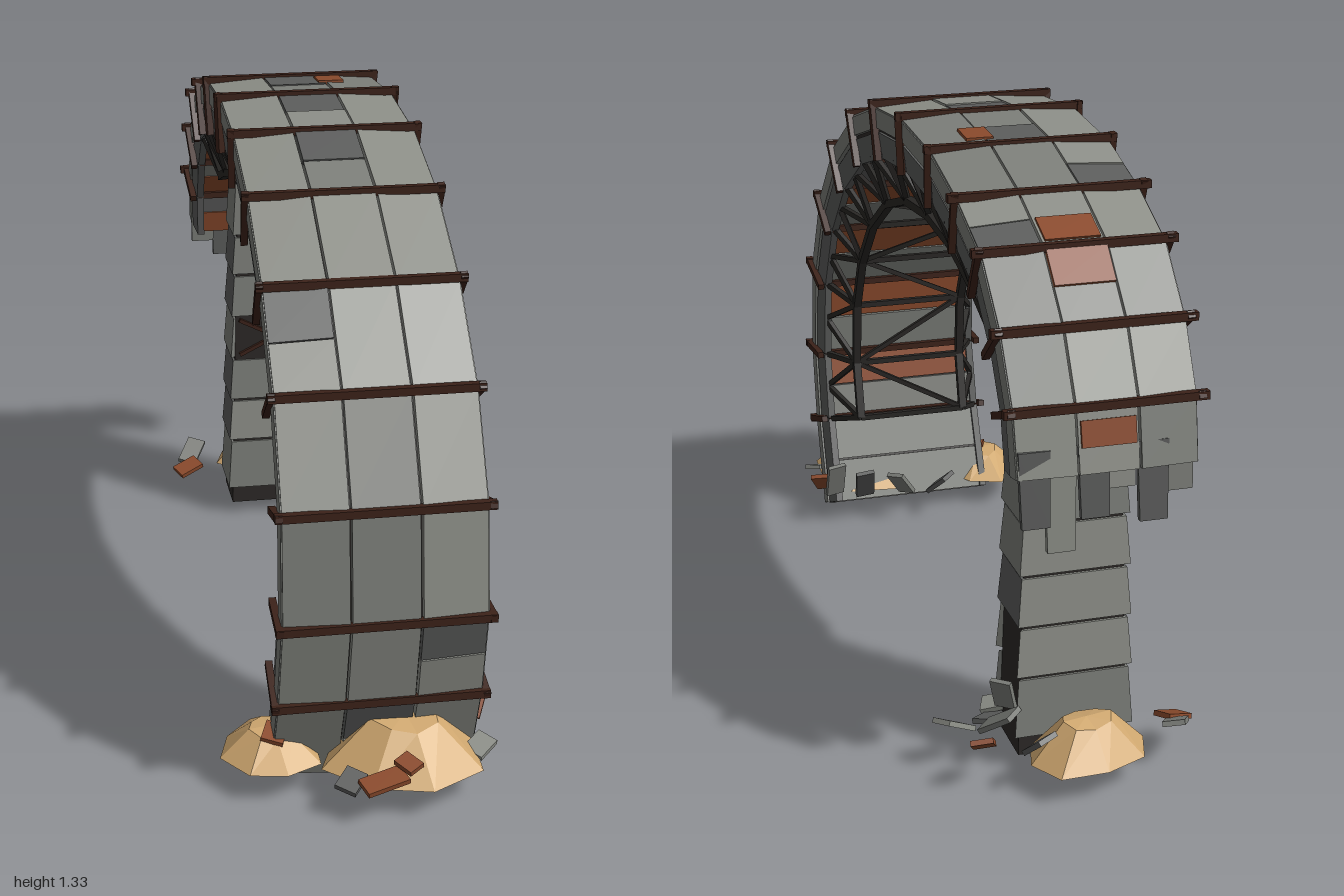
import * as THREE from 'three';

const mats = {};
const mat = (color) => (mats[color] ??= new THREE.MeshStandardMaterial({ color, flatShading: true }));
const LIGHT = 0x8c8e87, MID = 0x7c7e79, DARK = 0x5c5d5c, RUST = 0x8a4a2c, RIB = 0x3c2219, STEEL = 0x282624,
  CORE = 0x2c2826, SAND = 0xd0a870;

let seed = 7;
const rnd = () => (seed = (seed * 16807) % 2147483647) / 2147483647;
const pick = (...list) => list[Math.floor(rnd() * list.length)];

// Arch outline from the front foot over the top to the broken back end: [z, y]
const P = [[.783, -.004], [.878, .222], [.928, .432], [.903, .683], [.79, .905], [.61, 1.088], [.385, 1.222],
  [.14, 1.3], [-.11, 1.325], [-.36, 1.308], [-.57, 1.255], [-.745, 1.185], [-.878, 1.055], [-.96, .912], [-.988, .775]];
const LAST = P.length - 1;
const normals = P.map((_, i) => {
  const a = P[Math.max(i - 1, 0)], b = P[Math.min(i + 1, LAST)];
  return new THREE.Vector2(b[1] - a[1], a[0] - b[0]).normalize();
});
const half = (s) => THREE.MathUtils.lerp(.228, .194, s / LAST);

// Point at station s along the arch, x across it, d below its outer face
function pt(s, x, d) {
  const i = Math.min(Math.floor(s), LAST - 1), f = s - i;
  const at = (k) => new THREE.Vector3(x, P[k][1] - normals[k].y * d, P[k][0] - normals[k].x * d);
  return at(i).lerp(at(i + 1), f);
}

// Six-sided block from two matching quads
function block(parent, name, color, a, b) {
  const v = [...a, ...b];
  const quads = [[0, 1, 2, 3], [7, 6, 5, 4], [0, 4, 5, 1], [1, 5, 6, 2], [2, 6, 7, 3], [3, 7, 4, 0]];
  const n = v[1].clone().sub(v[0]).cross(v[3].clone().sub(v[0]));
  const flip = n.dot(v[0].clone().sub(v[4])) < 0;
  const pos = [];
  for (const q of quads) {
    const [p, r, s, t] = flip ? [...q].reverse() : q;
    for (const k of [p, r, s, p, s, t]) pos.push(...v[k].toArray());
  }
  const g = new THREE.BufferGeometry();
  g.setAttribute('position', new THREE.Float32BufferAttribute(pos, 3));
  g.computeVertexNormals();
  const m = new THREE.Mesh(g, mat(color));
  m.name = name;
  parent.add(m);
}

// Plate on the arch between stations s0..s1, section points (x as a share of half width, depth)
function plate(parent, name, color, s0, s1, [x0, d0], [x1, d1], dx, dd) {
  const quad = (ox, od) => [[s0, x0, d0], [s0, x1, d1], [s1, x1, d1], [s1, x0, d0]]
    .map(([s, x, d]) => pt(s, x * half(s) + ox, d + od));
  block(parent, name, color, quad(0, 0), quad(dx, dd));
}

function strut(parent, name, color, a, b, w, h = w) {
  const m = new THREE.Mesh(new THREE.BoxGeometry(w, h, a.distanceTo(b)), mat(color));
  m.position.copy(a).lerp(b, .5);
  m.lookAt(b);
  m.name = name;
  parent.add(m);
}

function addGroup(parent, name) {
  const g = new THREE.Group();
  g.name = name;
  parent.add(g);
  return g;
}

function buildShell(parent) {
  const shell = addGroup(parent, 'archShell');
  const edges = [[-1, .01], [-.34, 0], [.34, 0], [1, .01]];
  // darker half plates, as segment.column
  const patched = ['0.1', '1.2', '4.0', '6.1', '7.1', '8.1', '9.0', '10.2'];
  for (let i = 0; i < LAST; i++) {
    plate(shell, 'shellCore', CORE, i, i + 1, [-.95, .022], [.95, .022], 0, .085);
    // three columns of outer plates
    for (let c = 0; c < 3; c++) {
      const split = patched.includes(`${i}.${c}`), cuts = split ? [0, .5, 1] : [0, 1];
      for (let k = 0; k + 1 < cuts.length; k++) {
        const color = split && k === 1 ? DARK : pick(LIGHT, LIGHT, MID);
        const j = rnd() * .004, [x0, d0] = edges[c], [x1, d1] = edges[c + 1];
        plate(shell, 'outerPlate', color, i + cuts[k] + .006, i + cuts[k + 1] - .006,
          [x0 + .012, d0 + j], [x1 - .012, d1 + j], 0, .02);
      }
    }
    // two side bands and the inner lining
    for (const m of [-1, 1]) {
      plate(shell, 'upperSideBand', MID, i + .01, i + .99, [m, .016], [m, .062], -m * .02, 0);
      plate(shell, 'lowerSideBand', DARK, i + .01, i + .99, [m * .985, .072], [m * .95, .135], -m * .018, 0);
    }
    for (let k = 0; k < 2; k++)
      plate(shell, 'innerLining', k && i ? pick(RUST, DARK, RUST) : pick(DARK, MID),
        i + k / 2 + .01, i + k / 2 + .49, [-.9, .105], [.9, .105], 0, .012);
  }
  // rust patches on the outer face
  for (const [s, x, w, l] of [[8.55, .25, .3, .3], [11.05, -.33, .66, .45], [10.5, -.3, .6, .4], [13.2, -.3, .6, .4]])
    plate(shell, 'rustPatch', RUST, s, s + l, [x, -.003], [x + w, -.003], 0, .01);
  // ragged strips hanging from the broken end
  const lengths = [.07, .12, .05, .1, .18, .11];
  lengths.forEach((len, k) => {
    const x = -.192 + k * .063, d = k % 2 ? .012 : .038;
    const end = (y, w, z) => [[x, d], [x + w, d], [x + w, d + .014], [x, d + .014]]
      .map(([px, pd]) => new THREE.Vector3(px, y, z + pd));
    block(shell, 'hangingStrip', pick(LIGHT, MID, DARK), end(.83, .068, -.985), end(.775 - len, .06, -.99));
  });
}

function buildRibs(parent) {
  const ribs = addGroup(parent, 'ribs');
  for (let i = 1; i < LAST; i++) {
    const w = half(i) + .006, reach = i > 9 ? .016 : .008;
    strut(ribs, 'ribBar', RIB, pt(i, -w - reach, .004), pt(i, w + reach, .004), .018, .018);
    strut(ribs, 'ribInnerBar', RIB, pt(i, -w + .02, .125), pt(i, w - .02, .125), .016);
    for (const m of [-1, 1])
      strut(ribs, 'ribSide', RIB, pt(i, m * w, -.006), pt(i, m * (w - .005), .14), .016);
  }
}

function buildTruss(parent) {
  const truss = addGroup(parent, 'truss');
  const low = (s, m) => pt(s, m * .145, .24), high = (s, m) => pt(s, m * half(s) * .92, .12);
  const count = 20;
  for (let k = 0; k <= count; k++) {
    const s = 1 + k / 2, next = s + .5, odd = k % 2, swap = k % 4 ? 1 : -1;
    for (const m of [-1, 1]) {
      if (!odd) strut(truss, 'trussPost', STEEL, high(s, m), low(s, m), .014);
      if (k === count) continue;
      strut(truss, 'trussChord', STEEL, low(s, m), low(next, m), .02);
      strut(truss, 'trussDiagonal', STEEL, odd ? high(s, m) : low(s, m), odd ? low(next, m) : high(next, m), .013);
    }
    if (odd) continue;
    strut(truss, 'trussTie', STEEL, low(s, -1), low(s, 1), .014);
    if (k < count) strut(truss, 'trussCross', STEEL, low(s, swap), low(s + 1, -swap), .012);
  }
}

function buildPillar(parent) {
  const pillar = addGroup(parent, 'pillar');
  pillar.position.z = -.7;
  const hw = (y) => .126 - .028 * y, hd = (y) => .073 - .014 * y;
  const ring = (y, o) => [[-1, -1], [1, -1], [1, 1], [-1, 1]]
    .map(([a, b]) => new THREE.Vector3(a * (hw(y) + o), y, b * (hd(y) + o)));
  block(pillar, 'pillarCore', CORE, ring(.03, 0), ring(1.1, 0));
  const rows = [.075, .22, .34, .46, .58, .7, .81, .96, 1.1];
  const missing = ['0+x', '1+x', '6+x', '3+z'];
  for (let r = 0; r < 8; r++) {
    const y0 = rows[r] + .004, y1 = rows[r + 1] - .006;
    // each plate leans out a little at its foot
    const lo = ring(y0, .012), hi = ring(y1, .006), loIn = ring(y0, -.006), hiIn = ring(y1, -.006);
    ['-z', '+x', '+z', '-x'].forEach((side, f) => {
      if (missing.includes(r + side)) return;
      const g = (f + 1) % 4;
      block(pillar, 'pillarPlate', side[1] === 'z' ? pick(LIGHT, MID) : pick(MID, DARK),
        [lo[f], lo[g], hi[g], hi[f]], [loIn[f], loIn[g], hiIn[g], hiIn[f]]);
    });
  }
  // exposed bracing where a plate is gone
  for (const m of [-1, 1])
    strut(pillar, 'pillarBrace', RIB, new THREE.Vector3(-m * .1, .47, .071), new THREE.Vector3(m * .1, .57, .07), .01);
}

function mound(parent, x, z, rx, rz, h) {
  const g = new THREE.CylinderGeometry(.42, 1, 1, 8).toNonIndexed();
  const p = g.attributes.position;
  for (let i = 0; i < p.count; i++) {
    const a = Math.atan2(p.getZ(i), p.getX(i)), k = 1 + .08 * Math.sin(3 * a + x * 20);
    const top = p.getY(i) > 0 ? h * (1 + .08 * Math.cos(2 * a)) : 0;
    p.setXYZ(i, p.getX(i) * rx * k, top, p.getZ(i) * rz * k);
  }
  g.computeVertexNormals();
  const m = new THREE.Mesh(g, mat(SAND));
  m.position.set(x, .065, z);
  m.name = 'sandMound';
  parent.add(m);
}

function buildGround(parent) {
  const ground = addGroup(parent, 'rubble');
  mound(ground, -.08, .83, .18, .17, .095);
  mound(ground, -.35, .71, .11, .13, .055);
  mound(ground, .18, -.84, .14, .11, .08);
  // loose plates: x, y, z, length, turn, tilt, colour
  const scraps = [
    [.41, .1, -.66, .09, .3, .5, LIGHT], [.4, .11, -.78, .08, 1, .6, RUST], [.33, .12, -.72, .1, 2, .6, MID],
    [.3, .07, -.62, .08, .6, .2, DARK], [-.03, .1, -.87, .09, .9, .4, MID], [-.06, .08, -.81, .07, .2, .3, RUST],
    [.3, .12, -.85, .08, 1.7, .7, DARK], [.27, .08, -.58, .06, 2.5, .3, LIGHT], [.31, .17, -.7, .07, .4, 1.3, MID],
    [.13, .1, .73, .07, .8, .8, RUST], [.12, .13, .66, .1, 1.4, 1.2, MID], [.05, .12, .62, .1, 1.2, 1.0, DARK],
    [-.05, .11, .6, .08, .4, .9, MID], [-.16, .1, .58, .08, 2, .7, DARK], [.08, .08, .88, .06, .5, .3, LIGHT],
    [-.18, .09, .96, .1, .1, .1, RUST], [-.24, .08, .92, .06, .7, .3, DARK], [-.12, .115, .95, .04, .4, .2, RUST],
    [-.35, .12, .74, .06, 1, .2, RUST]];
  for (const [x, y, z, len, turn, tilt, color] of scraps) {
    const m = new THREE.Mesh(new THREE.BoxGeometry(len, .012, .05), mat(color));
    m.position.set(x, y, z);
    m.rotation.set(.2, turn, tilt, 'YZX');
    m.name = 'scrapPlate';
    ground.add(m);
  }
}

export function createModel() {
  seed = 7;
  const model = new THREE.Group();
  model.name = 'ruinedArch';
  const arch = addGroup(model, 'arch');
  arch.position.x = .02;
  arch.rotation.y = -11 * Math.PI / 180;
  buildShell(arch);
  buildRibs(arch);
  buildTruss(arch);
  buildPillar(arch);
  buildGround(model);
  return model;
}
